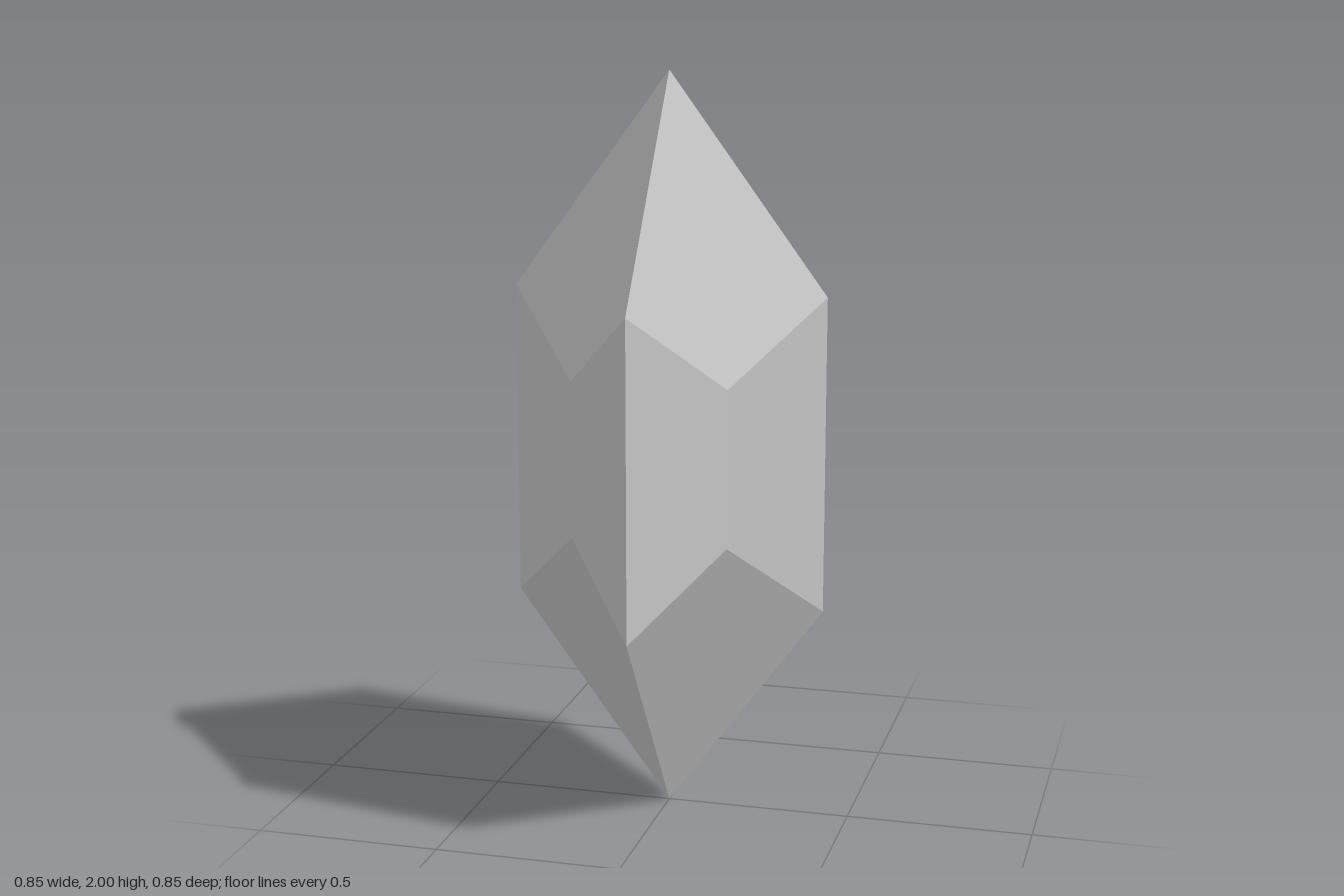
import * as THREE from 'three';

const R = 0.424;          // distance from axis to each vertical edge
const SHOULDER = 0.424;   // half height of the vertical edges
const NOTCH = 0.21;       // half height of the body at the middle of each side
const INSET = 0.987;      // middles of the sides sit very slightly inwards
const MID = 1;            // height of the centre

// Builds flat-looking quads, each split along its first diagonal (0-2) and shaded with one normal
function quadGeometry(quads) {
  const pos = [], nor = [];
  for (const [a, b, c, d] of quads) {
    const n = c.clone().sub(a).cross(d.clone().sub(b)).normalize();
    for (const p of [a, b, c, a, c, d]) {
      pos.push(p.x, p.y, p.z);
      nor.push(n.x, n.y, n.z);
    }
  }
  const g = new THREE.BufferGeometry();
  g.setAttribute('position', new THREE.Float32BufferAttribute(pos, 3));
  g.setAttribute('normal', new THREE.Float32BufferAttribute(nor, 3));
  return g;
}

export function createModel() {
  const group = new THREE.Group();
  group.name = 'crystal';
  const material = new THREE.MeshStandardMaterial({ color: 0xcccccc });

  const corner = (k, y) => new THREE.Vector3(
    R * Math.cos(k * Math.PI / 2), MID + y, R * Math.sin(k * Math.PI / 2));
  const middle = (k, y) => corner(k, y).lerp(corner(k + 1, y), 0.5)
    .multiply(new THREE.Vector3(INSET, 1, INSET));
  const top = new THREE.Vector3(0, 2, 0);
  const bottom = new THREE.Vector3(0, 0, 0);

  const upper = [], lower = [], sides = [];
  for (let k = 0; k < 4; k++) {
    const mt = middle(k, NOTCH), mb = middle(k, -NOTCH);
    const t0 = corner(k, SHOULDER), t1 = corner(k + 1, SHOULDER);
    const b0 = corner(k, -SHOULDER), b1 = corner(k + 1, -SHOULDER);
    // kite facets, folded alternately across the shoulders or from tip to notch
    if (k % 2 === 0) {
      upper.push([t1, mt, t0, top]);
      lower.push([bottom, b0, mb, b1]);
    } else {
      upper.push([top, t1, mt, t0]);
      lower.push([b0, mb, b1, bottom]);
    }
    // each upright side in two halves meeting at the notches
    sides.push([t0, mt, mb, b0], [mt, t1, b1, mb]);
  }

  const add = (name, quads) => {
    const mesh = new THREE.Mesh(quadGeometry(quads), material);
    mesh.name = name;
    group.add(mesh);
  };
  add('upperPoint', upper);
  add('body', sides);
  add('lowerPoint', lower);
  return group;
}
